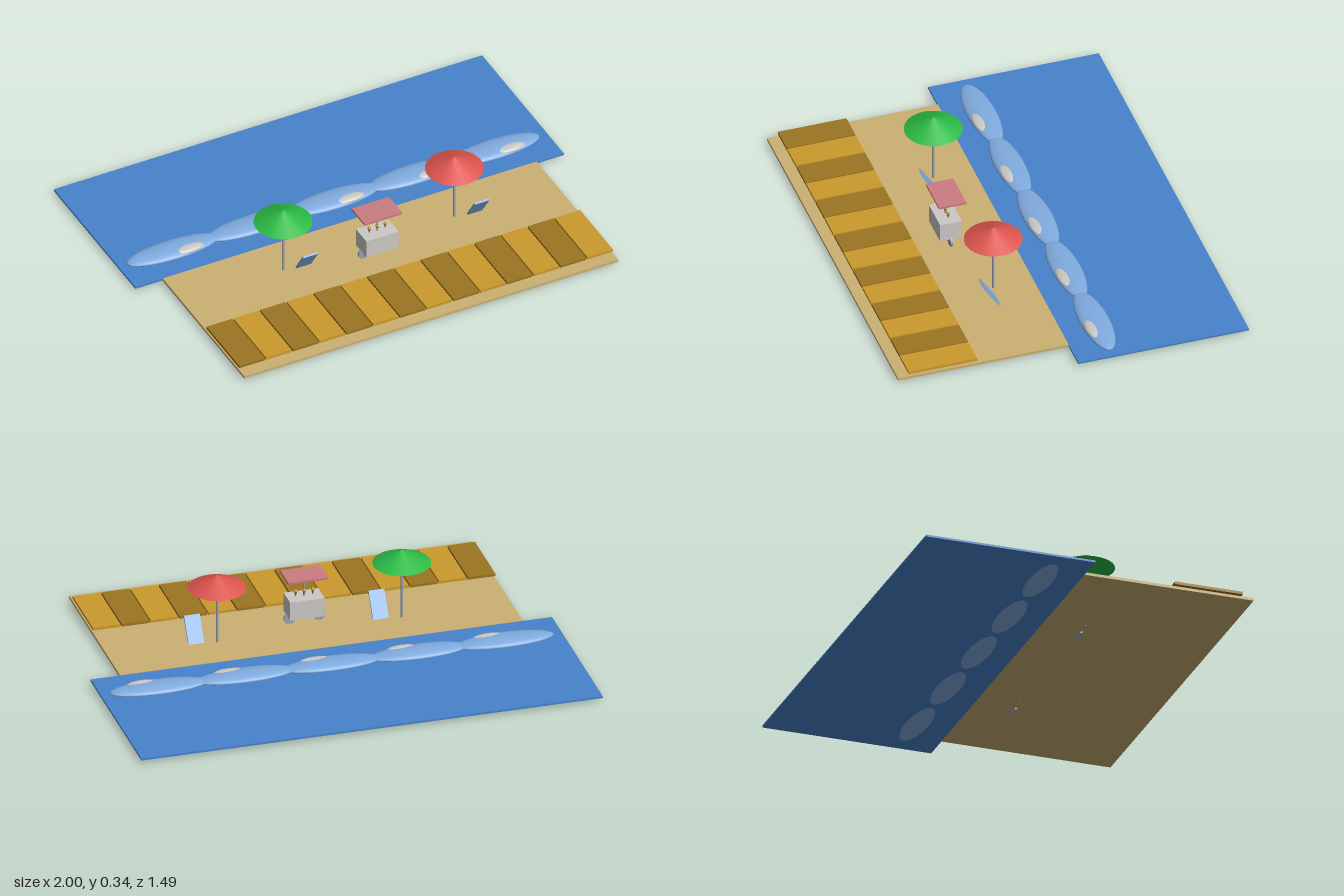
import * as THREE from 'three';

const mat = (name, color) => {
  const m = new THREE.MeshStandardMaterial({ color });
  m.name = name;
  return m;
};

export function createModel() {
  const sand = mat('sand', 0xcbb072);
  const sea = mat('sea blue', 0x4783cb);
  const paleBlue = mat('pale blue', 0x80abdf);
  const lightGrey = mat('light grey', 0xcbc9c6);
  const plankLight = mat('light wood', 0xcb9a2c);
  const plankDark = mat('dark wood', 0x9c7522);
  const red = mat('red', 0xdd544e);
  const green = mat('green', 0x2bbb45);
  const pink = mat('pink', 0xcb7c82);
  const metal = mat('metal grey', 0x98a2b0);

  const model = new THREE.Group();
  model.name = 'beach';

  const add = (parent, name, geometry, material, x, y, z) => {
    const mesh = new THREE.Mesh(geometry, material);
    mesh.name = name;
    mesh.position.set(x, y, z);
    parent.add(mesh);
    return mesh;
  };
  const box = (w, h, d) => new THREE.BoxGeometry(w, h, d);
  const group = (name) => {
    const g = new THREE.Group();
    g.name = name;
    model.add(g);
    return g;
  };

  // Ground and water
  add(model, 'sandStrip', box(1.746, 0.012, 0.747), sand, 0, 0.018, 0.3735);
  add(model, 'water', box(2, 0.009, 0.747), sea, 0, 0.018, -0.3735);

  // Row of overlapping waves, each with a foam crest
  const waves = group('waves');
  const ball = new THREE.SphereGeometry(1, 32, 20);
  for (let i = -2; i <= 2; i++) {
    const x = i * 0.375;
    add(waves, 'wave', ball, paleBlue, x, 0.026, -0.152).scale.set(0.212, 0.021, 0.0625);
    add(waves, 'foam', ball, lightGrey, x + 0.06, 0.035, -0.122).scale.set(0.07, 0.012, 0.028);
  }

  // Boardwalk of alternating planks
  const boardwalk = group('boardwalk');
  for (let i = 0; i < 14; i++) {
    add(boardwalk, 'plank', box(0.119, 0.012, 0.3), i % 2 ? plankLight : plankDark,
      -0.8125 + i * 0.125, 0.04, 0.55);
  }

  // Parasols with a tilted lounger beside each
  const parasols = group('parasols');
  for (const [x, canopy] of [[-0.4, green], [0.4, red]]) {
    add(parasols, 'parasolPole', new THREE.CylinderGeometry(0.005, 0.005, 0.28, 12), metal, x, 0.15, 0.175);
    add(parasols, 'parasolCanopy', new THREE.ConeGeometry(0.123, 0.06, 32), canopy, x, 0.308, 0.175);
    add(parasols, 'lounger', box(0.068, 0.145, 0.008), paleBlue, x + 0.0875, 0.064, 0.214).rotation.x = 0.588;
  }

  // Snack cart
  const cart = group('cart');
  add(cart, 'cartBody', box(0.15, 0.084, 0.096), lightGrey, 0, 0.102, 0.253);
  add(cart, 'cartPole', new THREE.CylinderGeometry(0.004, 0.004, 0.1, 10), metal, 0, 0.191, 0.253);
  add(cart, 'cartCanopy', box(0.175, 0.009, 0.12), pink, 0, 0.242, 0.25);
  for (const side of [-1, 1]) {
    const wheel = add(cart, 'wheel', new THREE.CylinderGeometry(0.025, 0.025, 0.01, 20), metal,
      side * 0.064, 0.046, 0.253);
    wheel.rotation.x = Math.PI / 2;
  }
  // Treats on the counter
  for (const x of [-0.037, 0, 0.037]) {
    add(cart, 'cone', new THREE.ConeGeometry(0.007, 0.024, 12), plankDark, x, 0.155, 0.253).rotation.x = Math.PI;
    add(cart, 'scoop', new THREE.SphereGeometry(0.008, 12, 8), plankLight, x, 0.169, 0.253);
  }

  return model;
}
